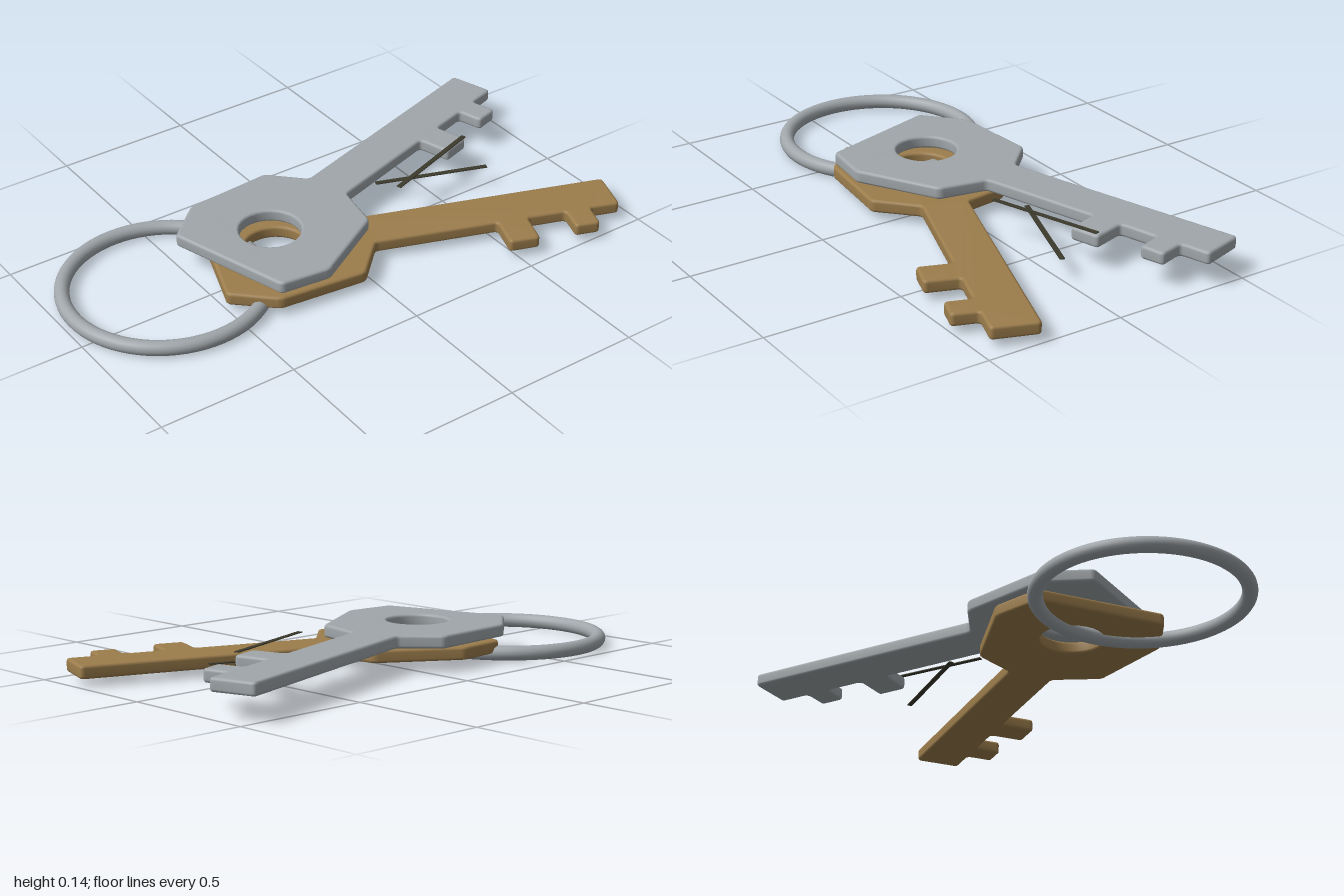
import * as THREE from 'three';
import { mergeVertices } from 'three/addons/utils/BufferGeometryUtils.js';

// Key outline around the centre of its hole, blade pointing up
const OUTLINE = [
  [-0.092, 1.248], [0.076, 1.248],                                      // tip
  [0.076, 1.136], [0.172, 1.136], [0.172, 1.043], [0.076, 1.043],       // small tooth
  [0.076, 0.9], [0.202, 0.9], [0.202, 0.787], [0.076, 0.787],           // large tooth
  [0.076, 0.338], [0.237, 0.257], [0.31, -0.06], [0.236, -0.231],       // head, right half
  [-0.232, -0.231], [-0.31, -0.06], [-0.237, 0.257], [-0.092, 0.334],   // head, left half
];
const THICKNESS = 0.046, BEVEL = 0.01;

// Closed shape with slightly rounded corners
function roundedShape(points, radius) {
  const pts = points.map(([x, y]) => new THREE.Vector2(x, y)).reverse();
  const shape = new THREE.Shape();
  pts.forEach((p, i) => {
    const towards = (q) => q.clone().sub(p).setLength(radius).add(p);
    const a = towards(pts[(i + pts.length - 1) % pts.length]);
    const b = towards(pts[(i + 1) % pts.length]);
    if (i === 0) shape.moveTo(a.x, a.y); else shape.lineTo(a.x, a.y);
    shape.quadraticCurveTo(p.x, p.y, b.x, b.y);
  });
  shape.closePath();
  return shape;
}

// Flat key with softened edges and a round hole, lying on y = 0
function keyGeometry() {
  const shape = roundedShape(OUTLINE, 0.016);
  const hole = new THREE.Path();
  hole.absarc(0, 0, 0.109, 0, Math.PI * 2, true);
  shape.holes.push(hole);
  const geo = new THREE.ExtrudeGeometry(shape, {
    depth: THICKNESS - 2 * BEVEL, bevelEnabled: true, bevelThickness: BEVEL,
    bevelSize: BEVEL, bevelOffset: -BEVEL, bevelSegments: 3, curveSegments: 14,
  });
  geo.translate(0, 0, BEVEL).rotateX(-Math.PI / 2);
  geo.deleteAttribute('uv');
  geo.deleteAttribute('normal');
  const smooth = mergeVertices(geo, 1e-5);
  smooth.computeVertexNormals();
  return smooth;
}

export function createModel() {
  const group = new THREE.Group();
  const material = (name, color) => {
    const m = new THREE.MeshStandardMaterial({ color });
    m.name = name;
    return m;
  };
  const steel = material('steel', 0xa0a6aa);
  const brass = material('brass', 0x9c7d4c);
  const dark = material('darkOlive', 0x3c3a2c);

  const add = (name, geo, mat, position, turn = 0) => {
    const mesh = new THREE.Mesh(geo, mat);
    mesh.name = name;
    mesh.position.set(...position);
    mesh.rotation.y = turn;
    group.add(mesh);
  };

  // Two equal keys fanned out around their holes
  const key = keyGeometry();
  add('steelKey', key, steel, [-0.058, 0.084, 0.214], 0.3);
  add('brassKey', key, brass, [-0.032, 0.027, 0.209], -0.342);

  // Thin dark strips, one parallel to each blade
  const strip = new THREE.BoxGeometry(0.018, 0.003, 0.424);
  add('upperStrip', strip, dark, [-0.066, 0.139, -0.497], 0.325);
  add('lowerStrip', strip, dark, [-0.066, 0.081, -0.497], -0.342);

  // Key ring
  const ring = new THREE.TorusGeometry(0.35, 0.0265, 16, 72).rotateX(Math.PI / 2);
  add('keyRing', ring, steel, [-0.107, 0.0265, 0.614]);

  return group;
}
